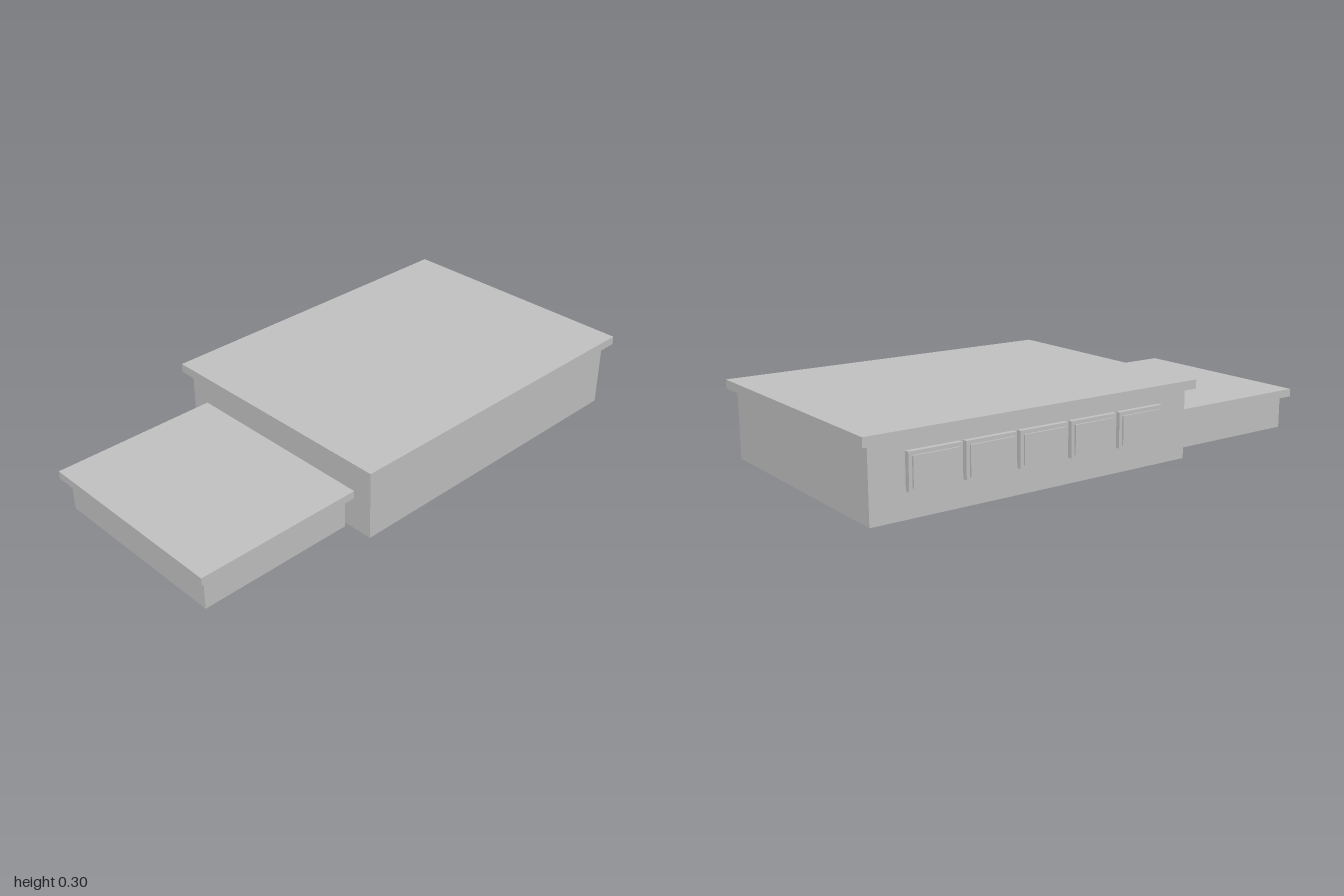
import * as THREE from 'three';

export function createModel() {
  const model = new THREE.Group();
  const grey = new THREE.MeshStandardMaterial({ color: 0xbfbfbf });
  grey.name = 'light grey';

  // Box given by its lower and upper corners
  function block(name, [x0, y0, z0], [x1, y1, z1], parent = model) {
    const mesh = new THREE.Mesh(new THREE.BoxGeometry(x1 - x0, y1 - y0, z1 - z0), grey);
    mesh.position.set((x0 + x1) / 2, (y0 + y1) / 2, (z0 + z1) / 2);
    mesh.name = name;
    parent.add(mesh);
  }

  // Main hall with overhanging flat roof
  block('mainWalls', [-0.337, 0, -0.48], [0.97, 0.263, 0.48]);
  block('mainRoof', [-0.366, 0.263, -0.508], [1, 0.297, 0.508]);

  // Low side wing with its own flat roof
  block('wingWalls', [-0.972, 0, -0.373], [-0.353, 0.128, 0.373]);
  block('wingRoof', [-1, 0.128, -0.402], [-0.337, 0.159, 0.402]);

  // Row of five windows along the back wall
  for (let i = 0; i < 5; i++) {
    const x = 0.316 + (i - 2) * 0.212;
    const frame = new THREE.Group();
    frame.name = 'window' + (i + 1);
    block('windowFrame', [x - 0.099, 0.094, -0.5], [x + 0.099, 0.224, -0.48], frame);
    block('windowPane', [x - 0.086, 0.105, -0.507], [x + 0.086, 0.211, -0.5], frame);
    model.add(frame);
  }
  return model;
}
